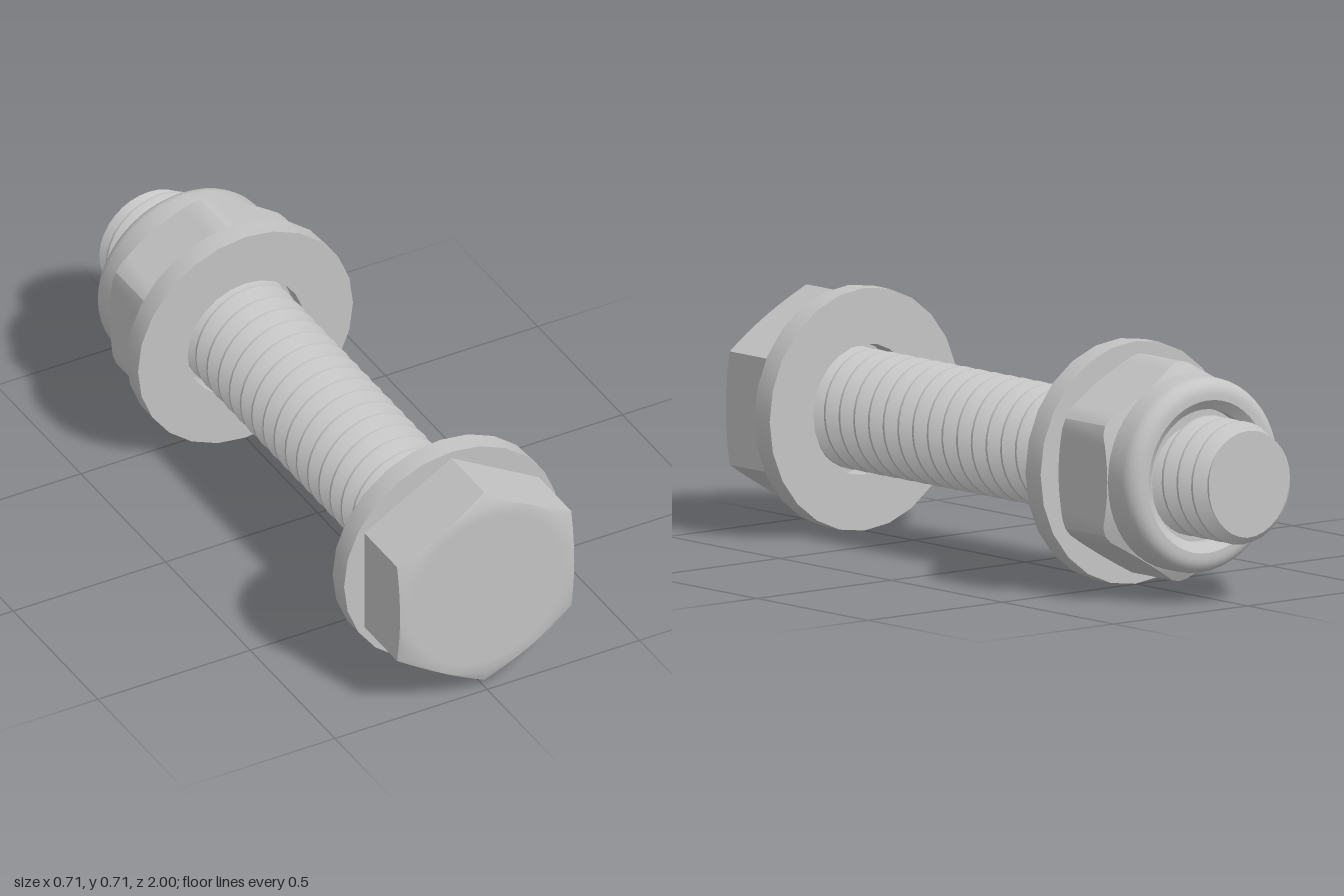
import * as THREE from 'three';
import { toCreasedNormals } from 'three/addons/utils/BufferGeometryUtils.js';

const steel = new THREE.MeshStandardMaterial({ color: 0xc4c4c4 });
steel.name = 'steel';

// Surface around the z axis; each row is a function of angle giving [radius, z]
function loft(name, rows, sides, crease = 0.4) {
  const pos = [];
  const point = (row, j) => {
    const a = (j / sides) * Math.PI * 2;
    const [r, z] = row(a);
    return new THREE.Vector3(r * Math.cos(a), r * Math.sin(a), z);
  };
  const tri = new THREE.Triangle();
  const add = (a, b, c) => {
    if (tri.set(a, b, c).getArea() < 1e-9) return;
    for (const p of [a, b, c]) pos.push(p.x, p.y, p.z);
  };
  for (let i = 0; i < rows.length - 1; i++) {
    for (let j = 0; j < sides; j++) {
      const a = point(rows[i], j), b = point(rows[i], j + 1);
      const c = point(rows[i + 1], j + 1), d = point(rows[i + 1], j);
      add(a, b, c);
      add(a, c, d);
    }
  }
  const geometry = new THREE.BufferGeometry();
  geometry.setAttribute('position', new THREE.Float32BufferAttribute(pos, 3));
  const mesh = new THREE.Mesh(toCreasedNormals(geometry, crease), steel);
  mesh.name = name;
  return mesh;
}

const ring = (r, z) => () => [r, z];

// Radius of a hexagon with corners at the top and bottom
const FLAT = 0.286;
function hex(a, limit) {
  const step = Math.PI / 3;
  const off = a - Math.round(a / step) * step;
  return Math.min(FLAT / Math.cos(off), limit);
}
const hexRow = (z, limit, slope) => (a) => {
  const r = hex(a, limit);
  return [r, z + slope * (r - FLAT)];
};

function washer(name, z0, z1) {
  const inner = 0.19, outer = 0.353;
  return loft(name, [ring(inner, z0), ring(outer, z0), ring(outer, z1),
    ring(inner, z1), ring(inner, z0)], 24);
}

// Helical thread, cut flat at both ends with a small lead-in at the tip
function threadedShank() {
  const pitch = 0.066, zTip = -1, zTop = 0.8, root = 0.144, crest = 0.177;
  const marks = [0, 0.12, 0.5, 0.62];
  const profile = (f) => {
    if (f < 0.12) return root;
    if (f < 0.5) return root + (crest - root) * (f - 0.12) / 0.38;
    if (f < 0.62) return crest;
    return crest - (crest - root) * (f - 0.62) / 0.38;
  };
  const rows = [ring(0, zTip)];
  const turns = Math.ceil((zTop - zTip) / pitch) + 2;
  for (let k = 0; k < turns; k++) {
    for (const m of marks) {
      rows.push((a) => {
        const lead = pitch * a / (Math.PI * 2);
        const z = THREE.MathUtils.clamp(zTip + pitch * (k - 1 + m) + lead, zTip, zTop);
        const f = (z - zTip - lead) / pitch + 1e-6;
        const r = profile(f - Math.floor(f));
        return [Math.min(r, 0.156 + 1.2 * (z - zTip)), z];
      });
    }
  }
  rows.push(ring(0, zTop));
  return loft('threadedShank', rows, 32);
}

export function createModel() {
  const model = new THREE.Group();
  model.name = 'boltWithNut';
  const bolt = new THREE.Group();
  bolt.name = 'boltAssembly';
  bolt.position.y = 0.353;
  model.add(bolt);

  // Bolt head, softly chamfered at the front corners
  bolt.add(loft('boltHead', [ring(0, 0.79), hexRow(0.79, 1, 0), hexRow(1, 1, -0.4),
    ring(FLAT, 1), ring(0.25, 1), ring(0, 1)], 48, 0.45));

  bolt.add(threadedShank());
  bolt.add(washer('headWasher', 0.722, 0.79));
  bolt.add(washer('nutWasher', -0.495, -0.427));

  // Nut body, chamfered at both ends
  bolt.add(loft('nutBody', [ring(0.15, -0.715), ring(FLAT - 0.005, -0.715),
    hexRow(-0.714, 0.32, 0.6), hexRow(-0.495, 0.32, -0.6),
    ring(FLAT - 0.005, -0.495), ring(0.15, -0.495)], 72, 0.35));

  // Rounded locking collar with a shallow dished bore
  const collar = [ring(0.14, -0.775), ring(0.193, -0.775), ring(0.193, -0.8), ring(0.222, -0.822)];
  const fillet = 0.045;
  for (let i = 0; i <= 6; i++) {
    const t = (i / 6) * Math.PI / 2;
    collar.push(ring(0.284 - fillet + fillet * Math.sin(t), -0.822 + fillet - fillet * Math.cos(t)));
  }
  collar.push(ring(0.284, -0.705));
  bolt.add(loft('lockingCollar', collar, 48));

  return model;
}
